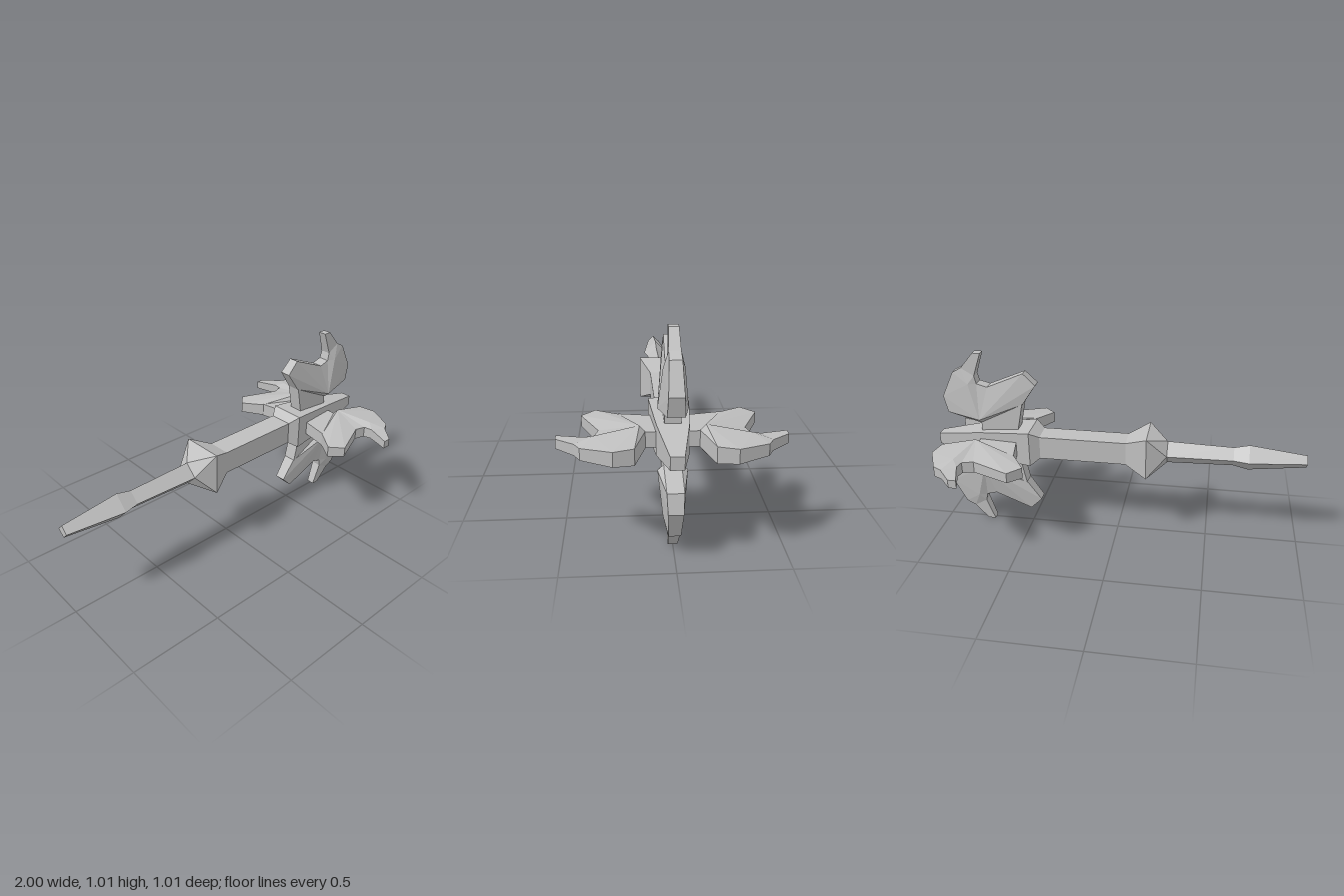
import * as THREE from 'three';

const AXIS_Y = 0.508;

// Flat-shaded mesh from a plain list of triangle corner points
function facetMesh(name, corners, material) {
  const geometry = new THREE.BufferGeometry();
  geometry.setAttribute('position', new THREE.Float32BufferAttribute(corners.flat(), 3));
  geometry.computeVertexNormals();
  const mesh = new THREE.Mesh(geometry, material);
  mesh.name = name;
  return mesh;
}

// Four-sided loft along x; each section is [x, half height, isDiamond]
function loft(name, sections, material) {
  const rings = sections.map(([x, half, diamond]) =>
    [0, 1, 2, 3].map((k) => {
      const a = (k + (diamond ? 0 : 0.5)) * Math.PI / 2;
      const r = diamond ? half : half * Math.SQRT2;
      return [x, r * Math.cos(a), r * Math.sin(a)];
    }));
  const tris = [];
  for (let i = 0; i < rings.length - 1; i++) {
    const A = rings[i], B = rings[i + 1];
    for (let k = 0; k < 4; k++) {
      const n = (k + 1) % 4;
      tris.push(A[k], A[n], B[k], B[k], A[n], B[n]);
    }
  }
  const s = rings[0], e = rings[rings.length - 1];
  tris.push(s[0], s[2], s[1], s[0], s[3], s[2]);
  tris.push(e[0], e[1], e[2], e[0], e[2], e[3]);
  return facetMesh(name, tris, material);
}

// Clawed fin: a thin rim outline with two raised points on each side
function finBlade(material) {
  const rim = [
    [0.51, 0.237], [0.746, 0.12], [0.928, 0.17], [0.949, 0.26], [0.885, 0.397],
    [0.837, 0.423], [0.767, 0.507], [0.725, 0.507], [0.767, 0.383], [0.757, 0.34],
    [0.70, 0.324], [0.50, 0.41], [0.436, 0.346],
  ];
  const points = rim.map(([x, y]) => [x, y, 0.04 - (y - 0.12) * 0.046]);
  points.push([0.746, 0.145, 0.068], [0.80, 0.34, 0.047]);
  const LOW = 13, HIGH = 14;
  const faces = [[5, 6, 7], [5, 7, 8]];
  const fan = (hub, loop) => {
    for (let i = 0; i < loop.length - 1; i++) faces.push([hub, loop[i], loop[i + 1]]);
  };
  fan(LOW, [0, 1, 2, 3, HIGH, 9, 10, 11, 12, 0]);
  fan(HIGH, [3, 4, 5, 8, 9]);

  const front = (i) => points[i];
  const back = (i) => [points[i][0], points[i][1], -points[i][2]];
  const tris = [];
  for (const [a, b, c] of faces) {
    tris.push(front(a), front(b), front(c), back(a), back(c), back(b));
  }
  for (let i = 0; i < rim.length; i++) {
    const j = (i + 1) % rim.length;
    tris.push(front(i), back(i), back(j), front(i), back(j), front(j));
  }
  return facetMesh('finBlade', tris, material);
}

// Flat neck joining a fin to the head
function finNeck(material) {
  const shape = new THREE.Shape([
    [0.55, 0.05], [0.746, 0.05], [0.746, 0.125], [0.512, 0.238],
  ].map(([x, y]) => new THREE.Vector2(x, y)));
  const geometry = new THREE.ExtrudeGeometry(shape, { depth: 0.074, bevelEnabled: false });
  geometry.translate(0, 0, -0.037);
  const mesh = new THREE.Mesh(geometry, material);
  mesh.name = 'finNeck';
  return mesh;
}

export function createModel() {
  const steel = new THREE.MeshStandardMaterial({ color: 0xbfbfbf, flatShading: true });
  steel.name = 'steel grey';

  const model = new THREE.Group();
  model.name = 'finnedMace';
  const body = new THREE.Group();
  body.name = 'body';
  body.position.y = AXIS_Y;
  model.add(body);

  // Diamond-section tail, guard, square grip and tapering head
  body.add(
    loft('tailSpike', [[-1, 0.035, true], [-0.7, 0.072, true], [-0.62, 0.053, true], [-0.27, 0.063, true]], steel),
    loft('guard', [[-0.27, 0.063, true], [-0.165, 0.115, false], [-0.05, 0.063, false]], steel),
    loft('grip', [[-0.05, 0.063, false], [0.42, 0.063, false]], steel),
    loft('head', [[0.42, 0.063, false], [0.47, 0.097, false], [0.75, 0.073, false], [1, 0.03, false]], steel),
  );

  // Four fins around the head
  for (let i = 0; i < 4; i++) {
    const fin = new THREE.Group();
    fin.name = 'fin' + (i + 1);
    fin.add(finBlade(steel), finNeck(steel));
    fin.rotation.x = i * Math.PI / 2;
    body.add(fin);
  }
  return model;
}
